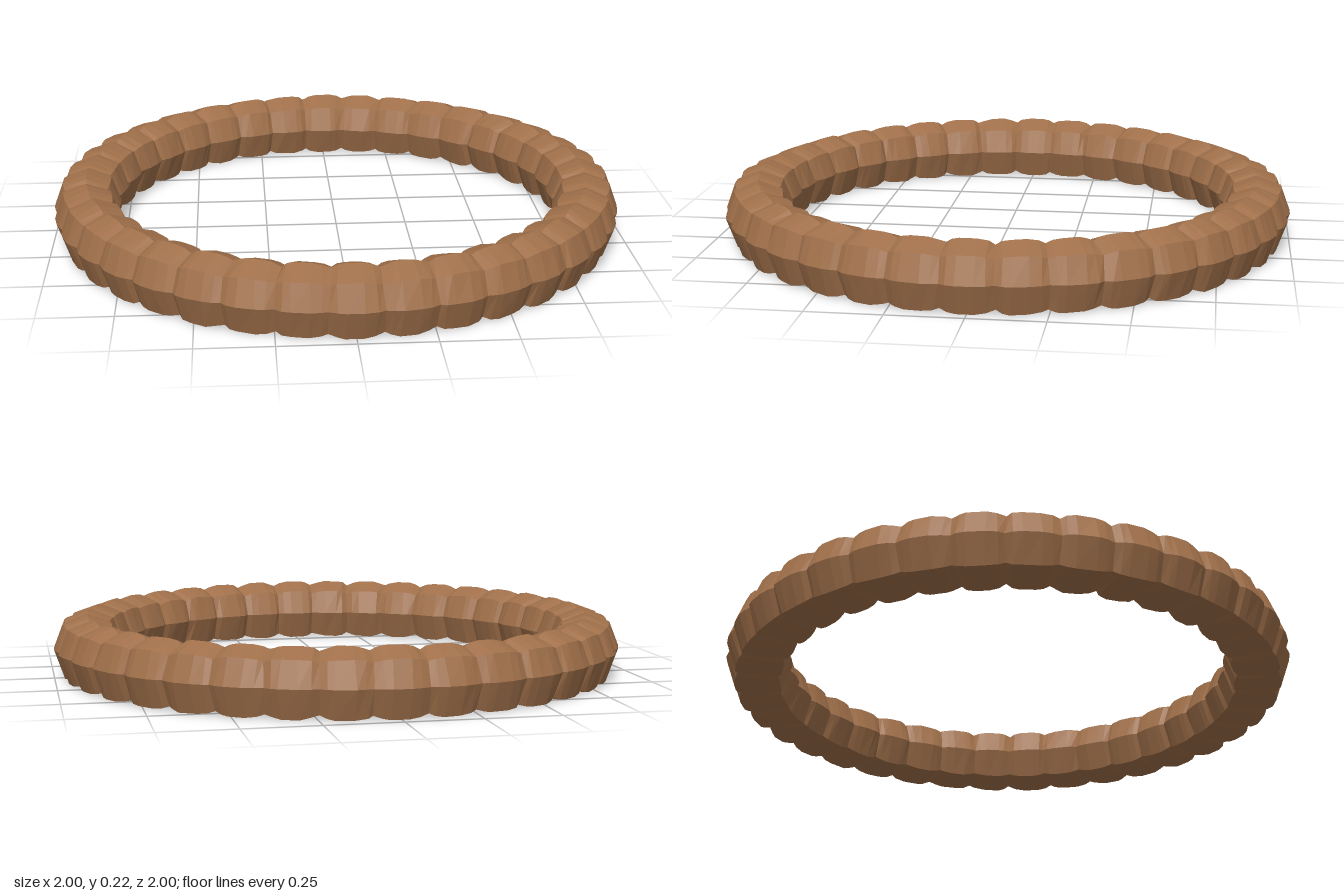
import * as THREE from 'three';

// Cross-section of the ring as [radius, height], counter-clockwise
const PROFILE = [
  [0.965, 0.0], [1.0, 0.1], [0.967, 0.187], [0.883, 0.218],
  [0.8, 0.187], [0.768, 0.1], [0.802, 0.0],
];
const CENTRE = [0.883, 0.1];
const SEGMENTS = 36;
// Position within one carved segment (fraction of its arc) and section scale there
const STATIONS = [[-0.5, 0.87], [-0.36, 0.96], [-0.2, 1], [0.15, 1], [0.36, 0.95]];

// Small seeded generator for the uneven carving
function seeded(seed) {
  return () => {
    seed = (seed * 16807) % 2147483647;
    return seed / 2147483647;
  };
}

function ringGeometry() {
  const random = seeded(41);
  const positions = [];
  const indices = [];
  const rings = SEGMENTS * STATIONS.length;
  const sides = PROFILE.length;

  for (let s = 0; s < SEGMENTS; s++) {
    for (const [offset, scale] of STATIONS) {
      PROFILE.forEach(([r, y]) => {
        const k = scale - (s % 9 === 0 ? 0 : random() * 0.03);
        const angle = ((s + offset + (random() - 0.5) * 0.06) / SEGMENTS) * Math.PI * 2;
        const radius = CENTRE[0] + (r - CENTRE[0]) * k;
        const height = CENTRE[1] + (y - CENTRE[1]) * k;
        positions.push(Math.sin(angle) * radius, height, Math.cos(angle) * radius);
      });
    }
  }

  // Join neighbouring sections all the way round
  for (let i = 0; i < rings; i++) {
    for (let j = 0; j < sides; j++) {
      const next = ((i + 1) % rings) * sides;
      const up = (j + 1) % sides;
      const a = i * sides + j, b = next + j, c = next + up, d = i * sides + up;
      indices.push(a, b, c, a, c, d);
    }
  }

  const geometry = new THREE.BufferGeometry();
  geometry.setAttribute('position', new THREE.Float32BufferAttribute(positions, 3));
  geometry.setIndex(indices);
  const faceted = geometry.toNonIndexed();
  faceted.computeVertexNormals();
  return faceted;
}

export function createModel() {
  const brown = new THREE.MeshStandardMaterial({ color: 0xa0704a, flatShading: true });
  brown.name = 'brown';

  const model = new THREE.Group();
  model.name = 'carvedRing';
  const ring = new THREE.Mesh(ringGeometry(), brown);
  ring.name = 'segmentedRing';
  model.add(ring);
  return model;
}
